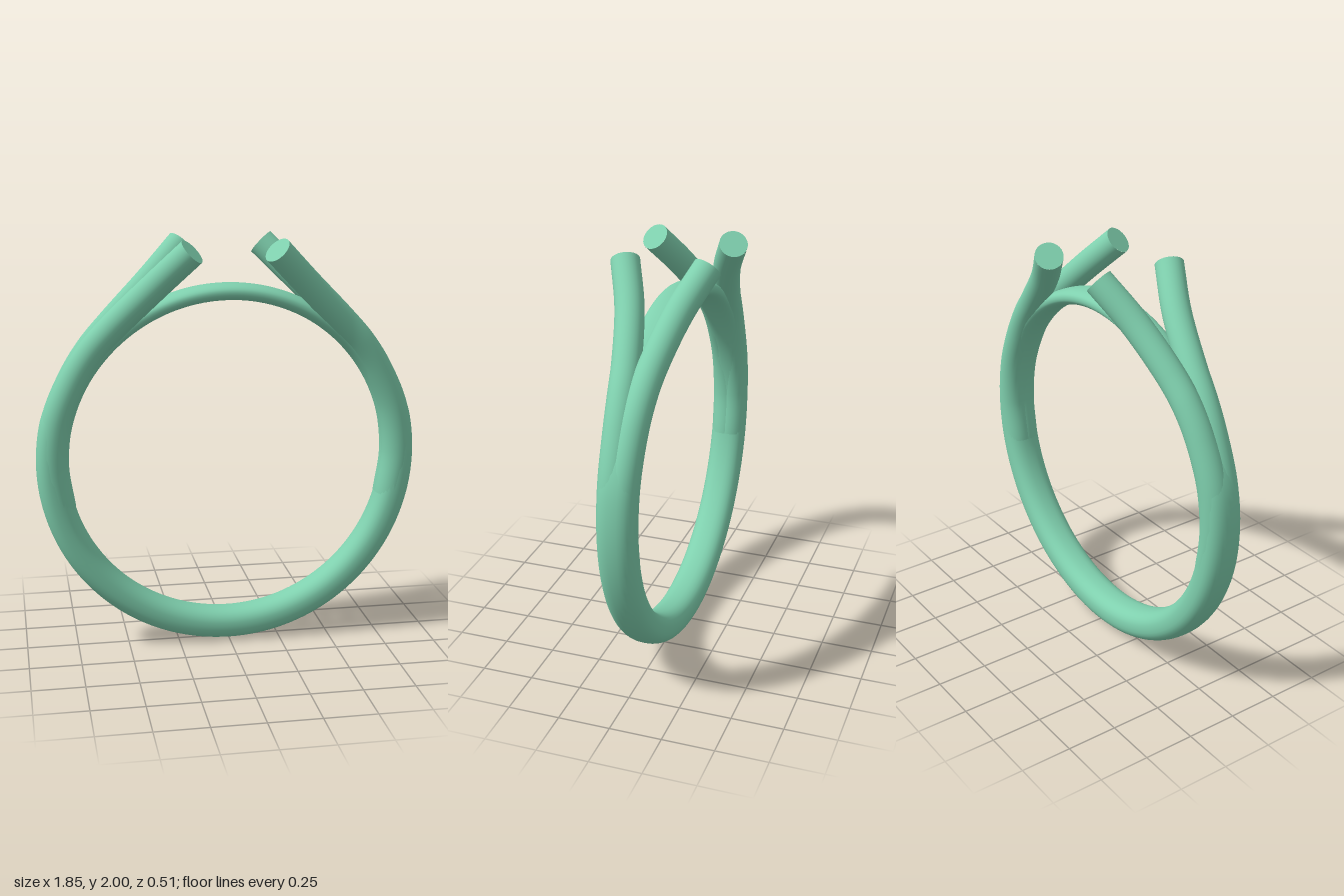
import * as THREE from 'three';
import { mergeVertices } from 'three/addons/utils/BufferGeometryUtils.js';

const CENTRE_Y = 0.927;
const INNER_R = 0.773;
const material = new THREE.MeshStandardMaterial({ color: 0x7fd0ae });

// Soft rounded power curve for the band's cross-section
const soft = (v, p) => Math.sign(v) * Math.pow(Math.abs(v), p);

// Closed band: constant inner radius, thinner across the top
function bandGeometry() {
  const geo = new THREE.TorusGeometry(1, 0.1, 32, 160);
  const pos = geo.attributes.position;
  for (let j = 0; j <= 32; j++) {
    for (let i = 0; i <= 160; i++) {
      const u = ((i % 160) / 160) * Math.PI * 2;
      const v = ((j % 32) / 32) * Math.PI * 2;
      const top = THREE.MathUtils.smoothstep(Math.sin(u), 0.2, 0.88);
      const half = THREE.MathUtils.lerp(0.077, 0.04, top);
      const width = THREE.MathUtils.lerp(0.09, 0.086, top);
      const r = INNER_R + half + half * soft(Math.cos(v), 0.85);
      pos.setXYZ(j * 161 + i, r * Math.cos(u), r * Math.sin(u), width * soft(Math.sin(v), 0.85));
    }
  }
  geo.deleteAttribute('uv');
  geo.deleteAttribute('normal');
  const merged = mergeVertices(geo, 1e-5);
  merged.computeVertexNormals();
  return merged;
}

// Prong: tapering round bar leaving the band and sweeping up and outward
function makeProng(sx, sz) {
  const points = [
    [0.818, 0.71, 0.013], [0.847, 0.93, 0.016], [0.82, 1.147, 0.021],
    [0.735, 1.35, 0.031], [0.65, 1.483, 0.043], [0.55, 1.595, 0.06],
    [0.36, 1.785, 0.115], [0.197, 1.95, 0.194],
  ].map(([x, y, z]) => new THREE.Vector3(sx * x, y, sz * z));
  const curve = new THREE.CatmullRomCurve3(points);
  const steps = 72, sides = 28, endR = 0.067;
  const geo = new THREE.TubeGeometry(curve, steps, 1, sides);
  const pos = geo.attributes.position;
  const p = new THREE.Vector3();
  for (let i = 0; i <= steps; i++) {
    const c = curve.getPointAt(i / steps);
    const r = THREE.MathUtils.lerp(0.076, endR, THREE.MathUtils.smoothstep(i / steps, 0.15, 0.6));
    for (let j = 0; j <= sides; j++) {
      const k = i * (sides + 1) + j;
      p.fromBufferAttribute(pos, k).sub(c).multiplyScalar(r).add(c);
      pos.setXYZ(k, p.x, p.y, p.z);
    }
  }
  const prong = new THREE.Group();
  prong.name = `${sz > 0 ? 'front' : 'back'}${sx > 0 ? 'Left' : 'Right'}Prong`;
  const bar = new THREE.Mesh(geo, material);
  bar.name = 'prongBar';
  // Flat end face
  const cap = new THREE.Mesh(new THREE.CircleGeometry(endR, sides), material);
  cap.name = 'prongEnd';
  cap.position.copy(curve.getPointAt(1));
  cap.quaternion.setFromUnitVectors(new THREE.Vector3(0, 0, 1), curve.getTangentAt(1));
  prong.add(bar, cap);
  return prong;
}

export function createModel() {
  const ring = new THREE.Group();
  ring.name = 'ring';
  const band = new THREE.Mesh(bandGeometry(), material);
  band.name = 'band';
  band.position.y = CENTRE_Y;
  ring.add(band);
  for (const sx of [-1, 1]) for (const sz of [-1, 1]) ring.add(makeProng(sx, sz));
  return ring;
}
